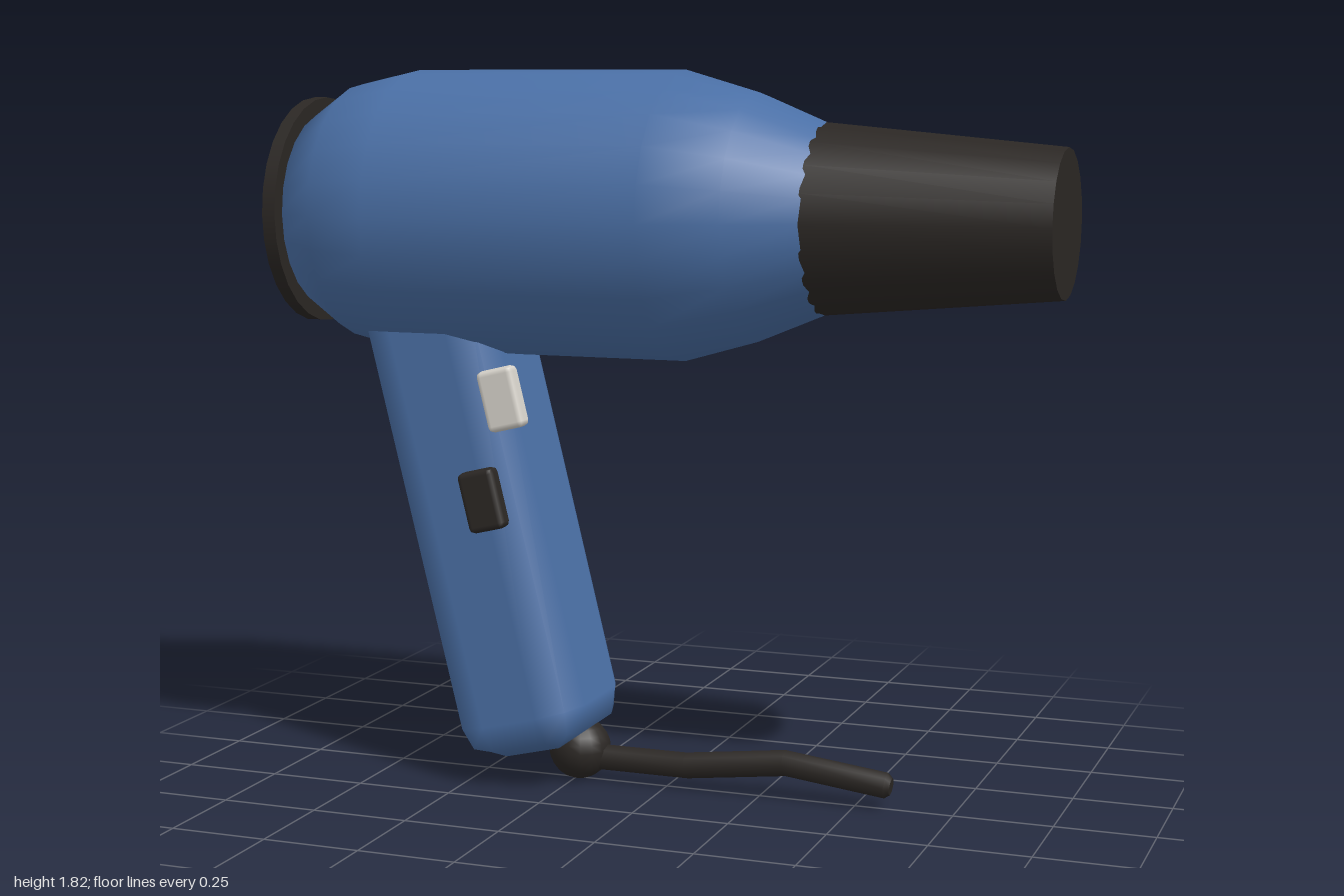
import * as THREE from 'three';
import { RoundedBoxGeometry } from 'three/addons/geometries/RoundedBoxGeometry.js';

const AXIS_Y = 1.46; // height of the barrel axis
const TILT = 0.24; // lean of the handle

export function createModel() {
  const model = new THREE.Group();
  model.name = 'hairDryer';

  const blue = new THREE.MeshStandardMaterial({ color: 0x4a6fa5 });
  const dark = new THREE.MeshStandardMaterial({ color: 0x2b2724 });
  const light = new THREE.MeshStandardMaterial({ color: 0xd8d4cc });
  const metal = new THREE.MeshStandardMaterial({ color: 0xb8b8be });

  const add = (name, geometry, material, x, y, z = 0, tilt = 0) => {
    const mesh = new THREE.Mesh(geometry, material);
    mesh.name = name;
    mesh.position.set(x, y, z);
    mesh.rotation.z = tilt;
    model.add(mesh);
    return mesh;
  };

  // Barrel: [radius, x] profile turned around the long axis
  const profile = [[0, -0.95], [0.245, -0.95], [0.325, -0.83], [0.36, -0.67],
    [0.36, 0.05], [0.305, 0.24], [0.23, 0.42]].map(([r, x]) => new THREE.Vector2(r, x));
  add('barrel', new THREE.LatheGeometry(profile, 24).rotateZ(-Math.PI / 2), blue, 0, AXIS_Y);

  // Tapered nozzle
  const nozzle = new THREE.CylinderGeometry(0.18, 0.234, 0.59, 20).rotateZ(-Math.PI / 2);
  add('nozzle', nozzle, dark, 0.705, AXIS_Y);

  // Rear intake plate with concentric grille rings
  const plate = new THREE.CylinderGeometry(0.29, 0.29, 0.035, 28).rotateZ(-Math.PI / 2);
  add('intakePlate', plate, dark, -0.958, AXIS_Y);
  [0.07, 0.15, 0.23].forEach((radius, i) => {
    const ring = new THREE.TorusGeometry(radius, 0.018, 8, 28).rotateY(Math.PI / 2);
    add(`grilleRing${i + 1}`, ring, metal, -0.982, AXIS_Y);
  });

  // Leaning handle with bevelled edges
  add('handle', new RoundedBoxGeometry(0.35, 1.25, 0.41, 1, 0.1), blue, -0.477, 0.692, 0, TILT);

  // Switches on the front side of the handle
  const button = new RoundedBoxGeometry(0.1, 0.155, 0.052, 1, 0.015);
  add('upperSwitch', button, light, -0.355, 1.013, 0.214, TILT);
  add('lowerSwitch', button, dark, -0.41, 0.755, 0.214, TILT);

  // Cord joint and power cord
  add('cordJoint', new THREE.SphereGeometry(0.08, 16, 12), dark, -0.24, 0.08);
  const path = new THREE.CatmullRomCurve3([[-0.21, 0.06], [0.06, 0.06], [0.325, 0.092], [0.58, 0.06]]
    .map(([x, y]) => new THREE.Vector3(x, y, 0)));
  add('cord', new THREE.TubeGeometry(path, 3, 0.034, 8), dark, 0, 0);
  const tip = new THREE.CylinderGeometry(0.022, 0.034, 0.014, 8).rotateZ(-Math.PI / 2);
  add('cordTip', tip, dark, 0.586, 0.059, 0, -0.13);

  return model;
}
